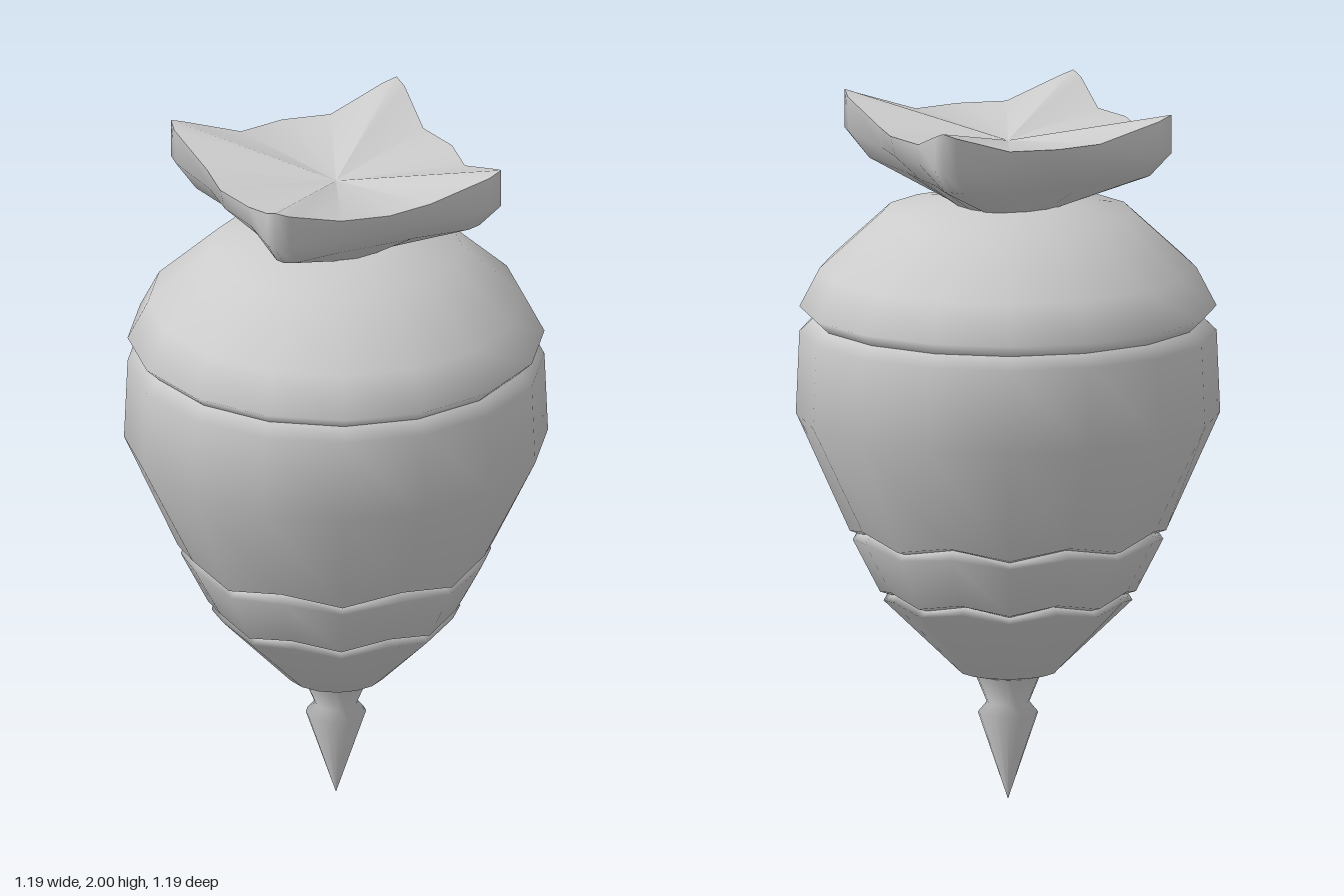
import * as THREE from 'three';

const SIDES = 16;

// Skin through closed rings listed from bottom to top, smooth within one skin
function loft(name, rings) {
  const n = rings[0].length;
  const pos = rings.flat(2);
  const index = [];
  for (let i = 0; i < rings.length - 1; i++) {
    for (let j = 0; j < n; j++) {
      const k = (j + 1) % n;
      const a = i * n + j, b = i * n + k, c = a + n, d = b + n;
      index.push(a, b, c, b, d, c);
    }
  }
  const geo = new THREE.BufferGeometry();
  geo.setAttribute('position', new THREE.Float32BufferAttribute(pos, 3));
  geo.setIndex(index);
  geo.computeVertexNormals();
  const mesh = new THREE.Mesh(geo, new THREE.MeshStandardMaterial({ color: 0xcccccc, side: THREE.DoubleSide }));
  mesh.name = name;
  return mesh;
}

// Round ring; wave lowers every other corner to give a zigzag edge
function ring(r, y, wave = 0) {
  return Array.from({ length: SIDES }, (_, j) => {
    const a = (j / SIDES) * Math.PI * 2;
    return [Math.sin(a) * r, y - (j % 2) * wave, Math.cos(a) * r];
  });
}

const turned = (name, profile) => loft(name, profile.map((p) => ring(...p)));

// Four-cornered ring: [radius, height] at the side middle, its flank, corner shoulder and corner
function petalRing(mid, flank, shoulder, corner) {
  const steps = [[0, mid], [22.5, flank], [41, shoulder], [45, corner], [49, shoulder], [67.5, flank]];
  const pts = [];
  for (let q = 0; q < 4; q++) {
    for (const [deg, [r, y]] of steps) {
      const a = THREE.MathUtils.degToRad(deg + q * 90);
      pts.push([Math.sin(a) * r, y, Math.cos(a) * r]);
    }
  }
  return pts;
}

export function createModel() {
  const group = new THREE.Group();
  group.name = 'spinningTop';

  // Pointed foot and its thin stem
  group.add(turned('tip', [[0, 0], [0.085, 0.25], [0.06, 0.28], [0.095, 0.365]]));

  // Lower cone and the two overlapping zigzag bands
  group.add(turned('lowerCone', [[0.08, 0.355], [0.14, 0.37], [0.35, 0.59, 0.02], [0.325, 0.61, 0.025]]));
  group.add(turned('lowerBand', [[0.325, 0.61, 0.025], [0.36, 0.62, 0.025], [0.437, 0.765, 0.02], [0.415, 0.79, 0.03]]));

  // Main belly up to the groove
  group.add(turned('belly', [[0.415, 0.79, 0.03], [0.445, 0.8, 0.03], [0.597, 1.11], [0.587, 1.345], [0.55, 1.38]]));

  // Shoulder above the groove
  group.add(turned('shoulder', [[0.55, 1.38], [0.587, 1.415], [0.53, 1.525], [0.355, 1.685], [0.14, 1.715]]));

  // Flared four-cornered crown: outside skin, then the dished top
  const rim = petalRing([0.36, 1.93], [0.363, 1.93], [0.473, 1.985], [0.495, 2]);
  const same = (r, y) => petalRing([r, y], [r, y], [r, y], [r, y]);
  group.add(loft('crown', [
    same(0.14, 1.705),
    petalRing([0.27, 1.8], [0.29, 1.8], [0.41, 1.815], [0.43, 1.82]),
    petalRing([0.345, 1.87], [0.355, 1.87], [0.47, 1.885], [0.495, 1.89]),
    rim,
  ]));
  group.add(loft('crownTop', [rim, same(0, 1.89)]));

  return group;
}
